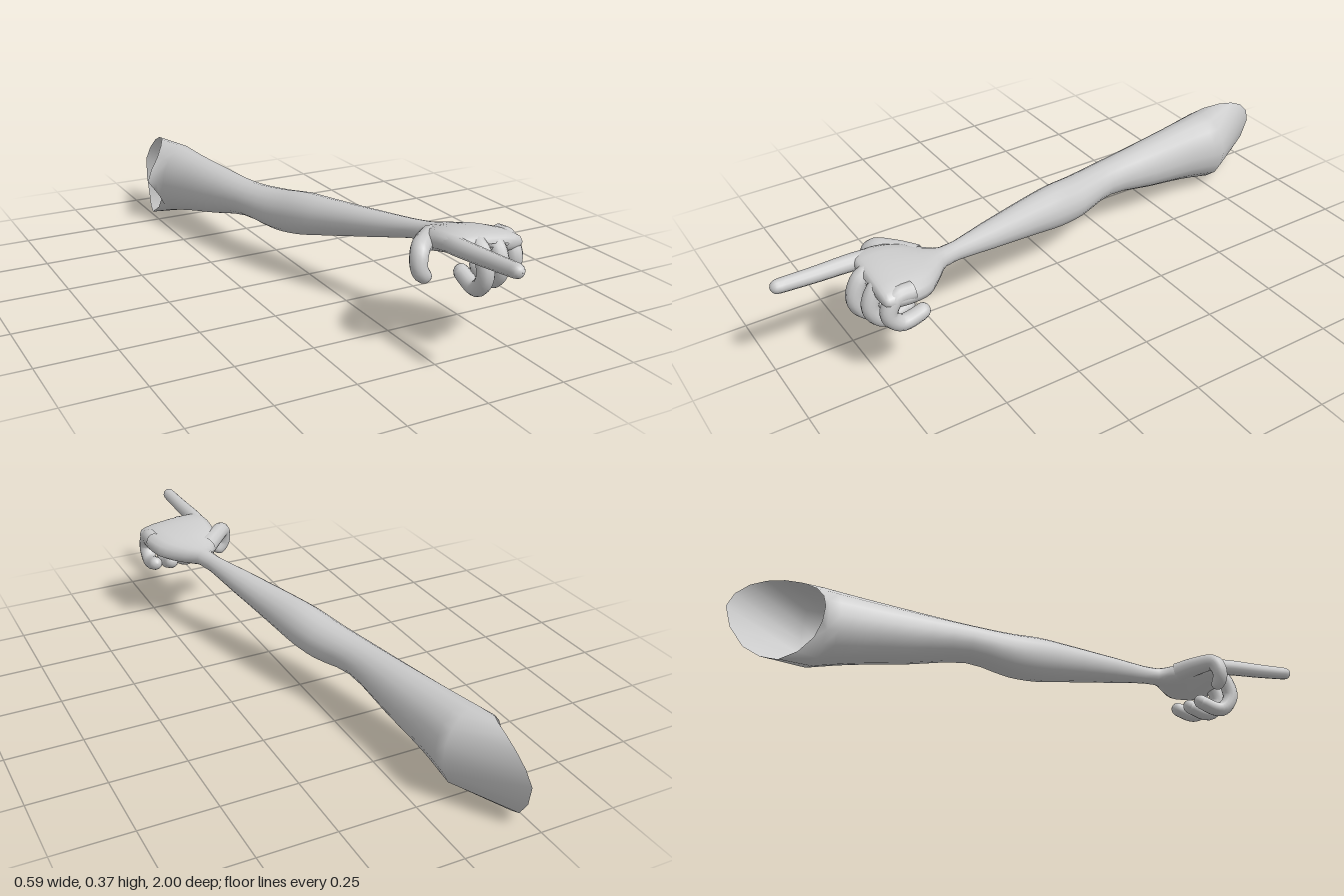
import * as THREE from 'three';

const SIDES = 16;
const V = (x, y, z) => new THREE.Vector3(x, y, z);

// Skin a list of equal-length closed rings
function loft(rings) {
  const n = rings[0].length, index = [];
  for (let i = 0; i < rings.length - 1; i++) {
    for (let j = 0; j < n; j++) {
      const a = i * n + j, b = i * n + (j + 1) % n;
      index.push(a, b, a + n, b, b + n, a + n);
    }
  }
  const geo = new THREE.BufferGeometry().setFromPoints(rings.flat());
  geo.setIndex(index);
  geo.computeVertexNormals();
  return geo;
}

// Rounded finger following a curve, radius tapering from r0 to r1
function fingerGeometry(points, r0, r1) {
  const curve = new THREE.CatmullRomCurve3(points);
  const steps = 24, sides = 12, len = curve.getLength();
  const frames = curve.computeFrenetFrames(steps);
  const rings = [];
  const ring = (u, r, i) => {
    const c = curve.getPointAt(u), pts = [];
    for (let j = 0; j < sides; j++) {
      const t = j / sides * Math.PI * 2;
      pts.push(c.clone()
        .addScaledVector(frames.normals[i], r * Math.cos(t))
        .addScaledVector(frames.binormals[i], r * Math.sin(t)));
    }
    rings.push(pts);
  };
  const tip = 1 - r1 / len;
  for (let i = 0; i <= steps; i++) {
    const u = i / steps;
    if (u < tip) ring(u, r0 + (r1 - r0) * u, i);
  }
  // Domed fingertip
  for (let k = 0; k <= 5; k++) {
    const a = k / 5 * Math.PI / 2;
    ring(tip + (1 - tip) * Math.sin(a), Math.max(r1 * Math.cos(a), 0.0005), steps);
  }
  return loft(rings);
}

// Arm and palm sections: z, x min, x max, y min, y max, roundness, cross slope, skew
const SECTIONS = [
  [-0.74, -0.265, -0.065, 0.030, 0.284, 1, 0, 0.03],
  [-0.62, -0.235, -0.065, 0.062, 0.278, 1, 0, 0.02],
  [-0.45, -0.200, -0.050, 0.100, 0.272, 1, 0, 0],
  [-0.25, -0.155, -0.030, 0.147, 0.268, 1, 0, 0],
  [-0.10, -0.120, 0.020, 0.138, 0.280, 1, 0, 0],
  [0.00, -0.090, 0.048, 0.148, 0.295, 1, 0, 0],
  [0.10, -0.055, 0.070, 0.172, 0.300, 1, 0, 0],
  [0.30, 0.025, 0.115, 0.222, 0.310, 1, 0, 0],
  [0.49, 0.100, 0.163, 0.265, 0.324, 1, 0, 0],
  [0.54, 0.075, 0.210, 0.260, 0.335, 0.9, -0.03, 0],
  [0.60, 0.045, 0.265, 0.265, 0.350, 0.8, -0.08, 0],
  [0.66, 0.040, 0.287, 0.280, 0.360, 0.75, -0.1, 0],
  [0.71, 0.045, 0.290, 0.290, 0.362, 0.7, -0.1, 0],
  [0.745, 0.055, 0.285, 0.305, 0.354, 0.7, -0.1, 0],
  [0.755, 0.120, 0.230, 0.325, 0.335, 0.8, -0.1, 0],
];

function sectionRing([z, x0, x1, y0, y1, p, slope, skew]) {
  const pow = (v) => Math.sign(v) * Math.abs(v) ** p;
  const pts = [];
  for (let j = 0; j < SIDES; j++) {
    const t = j / SIDES * Math.PI * 2;
    const dx = pow(Math.cos(t)) * (x1 - x0) / 2;
    const dy = pow(Math.sin(t)) * (y1 - y0) / 2;
    pts.push(V((x0 + x1) / 2 + dx, (y0 + y1) / 2 + dy + slope * dx, z - skew * Math.cos(t)));
  }
  return pts;
}

function armGeometry() {
  // Open, slanted shoulder rim, from the outer side over the top
  const rim = new THREE.CatmullRomCurve3([
    V(-0.2, 0.17, -1), V(-0.18, 0.26, -0.94), V(-0.19, 0.287, -0.84), V(-0.245, 0.245, -0.75),
    V(-0.295, 0.165, -0.725), V(-0.235, 0.09, -0.745), V(-0.24, 0.003, -0.84), V(-0.215, 0.04, -0.94),
  ], true);
  const rimRing = [];
  for (let j = 0; j < SIDES; j++) rimRing.push(rim.getPoint(j / SIDES));

  // Smooth columns through the sections
  const key = SECTIONS.map(sectionRing);
  const columns = rimRing.map((_, j) => new THREE.CatmullRomCurve3(key.map((r) => r[j])));
  const rings = [rimRing], steps = (key.length - 1) * 3;
  for (let i = 0; i <= steps; i++) rings.push(columns.map((c) => c.getPoint(i / steps)));
  return loft(rings);
}

export function createModel() {
  const group = new THREE.Group();
  const skin = new THREE.MeshStandardMaterial({ color: 0xcccccc, side: THREE.DoubleSide });
  const add = (name, geo) => {
    const mesh = new THREE.Mesh(geo, skin);
    mesh.name = name;
    group.add(mesh);
  };

  add('armAndPalm', armGeometry());

  // Pointing finger
  add('indexFinger', fingerGeometry(
    [V(0.075, 0.332, 0.66), V(0.07, 0.338, 0.74), V(0.077, 0.345, 0.87), V(0.084, 0.354, 1)], 0.029, 0.021));

  // Curled fingers: name, x, curl size, z shift
  const curl = [[0.33, 0.69], [0.328, 0.75], [0.258, 0.78], [0.203, 0.74], [0.232, 0.64]];
  for (const [name, x, size, dz] of [
    ['middleFinger', 0.132, 1, 0],
    ['ringFinger', 0.196, 0.9, -0.015],
    ['littleFinger', 0.262, 0.72, -0.035],
  ]) {
    const path = curl.map(([y, z], i) => V(
      x + 0.002 * i, 0.33 - (0.33 - y) * size - (x - 0.132) * 0.08, 0.69 + (z - 0.69) * (0.6 + 0.4 * size) + dz));
    add(name, fingerGeometry(path, 0.028, 0.024));
  }

  // Thumb, bent down and inward
  add('thumb', fingerGeometry(
    [V(0.1, 0.305, 0.56), V(0.045, 0.315, 0.61), V(0, 0.312, 0.655), V(-0.01, 0.265, 0.67), V(0.022, 0.222, 0.665)],
    0.035, 0.023));

  return group;
}
